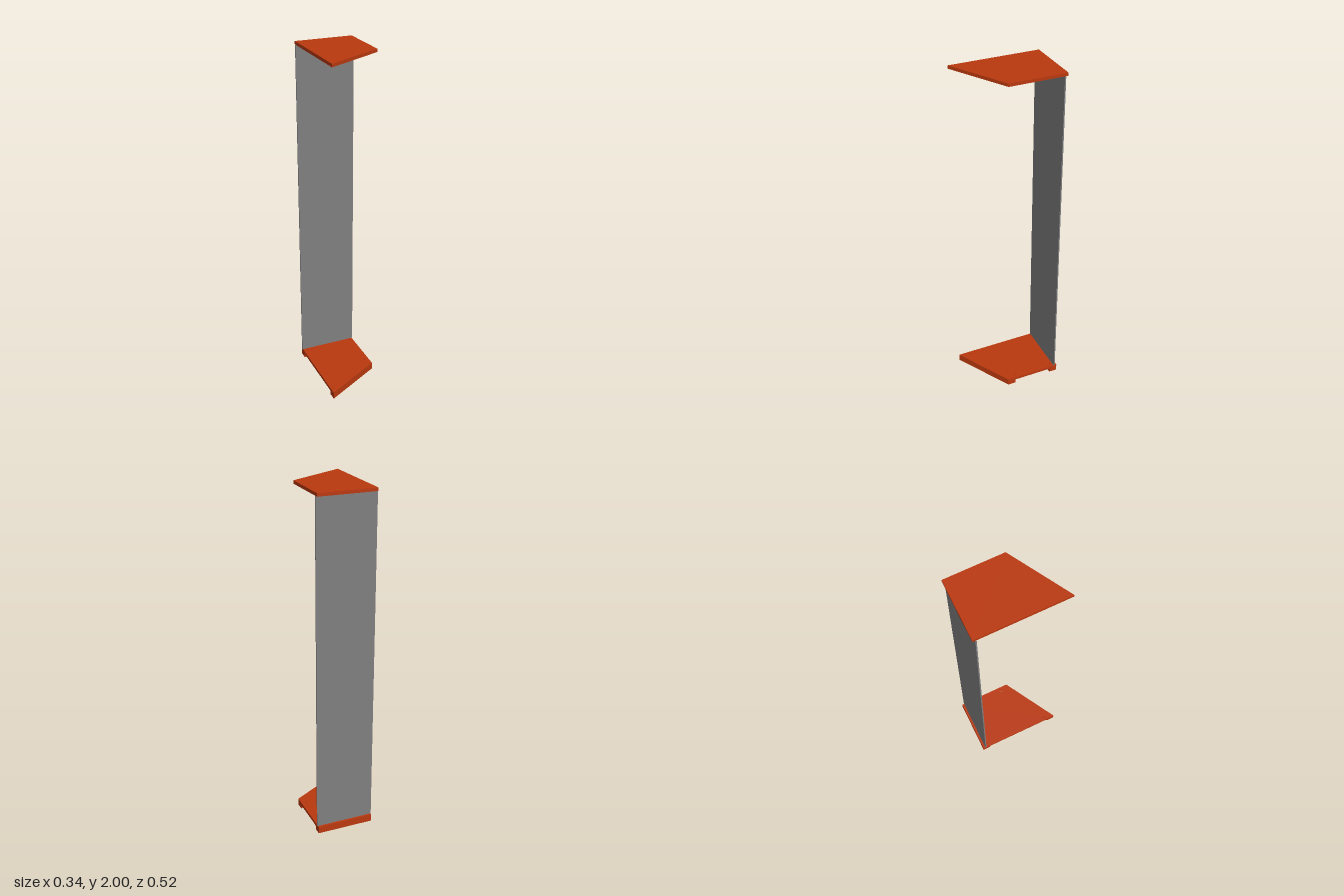
import * as THREE from 'three';

const BACK = -0.26, LEFT = 0.168, RIGHT = -0.168;
const FRONT_LEFT = 0.07, FRONT_RIGHT = 0.26;
const RAIL = 0.048, BOARD = 0.018, BASE_TOP = 0.042;

// Flat board from [x, z] corners, spanning y0 to y1, with optional round holes
function board(name, corners, y0, y1, material, holes = []) {
  const shape = new THREE.Shape(corners.map(([x, z]) => new THREE.Vector2(x, -z)));
  for (const [x, z] of holes) {
    shape.holes.push(new THREE.Path().absarc(x, -z, 0.005, 0, Math.PI * 2, true));
  }
  const geometry = new THREE.ExtrudeGeometry(shape, { depth: y1 - y0, bevelEnabled: false, curveSegments: 8 });
  geometry.rotateX(-Math.PI / 2);
  const mesh = new THREE.Mesh(geometry, material);
  mesh.name = name;
  mesh.position.y = y0;
  return mesh;
}

export function createModel() {
  const model = new THREE.Group();
  model.name = 'slantedShelfFrame';
  const wood = new THREE.MeshStandardMaterial({ color: 0xbb390f });
  const grey = new THREE.MeshStandardMaterial({ color: 0x808080 });

  // Both boards share one outline with an angled front edge
  const outline = [[RIGHT, BACK], [RIGHT, FRONT_RIGHT], [LEFT, FRONT_LEFT], [LEFT, BACK]];
  const screwHoles = [[-0.15, -0.224], [0.14, -0.224], [-0.15, 0.197], [0.14, 0.015]];
  const underside = BASE_TOP - BOARD;
  model.add(board('topBoard', outline, 2 - BOARD, 2, wood));
  model.add(board('bottomBoard', outline, underside, BASE_TOP, wood, screwHoles));

  // Rails under the bottom board, along its back and its angled front
  model.add(board('backRail', [
    [RIGHT, BACK], [RIGHT, BACK + RAIL], [LEFT, BACK + RAIL], [LEFT, BACK],
  ], 0, underside, wood));
  model.add(board('frontRail', [
    [RIGHT, FRONT_RIGHT - RAIL], [RIGHT, FRONT_RIGHT], [LEFT, FRONT_LEFT], [LEFT, FRONT_LEFT - RAIL],
  ], 0, underside, wood));

  // Thin back panel between the boards, slightly wider than them
  const height = 2 - BOARD - BASE_TOP;
  const panel = new THREE.Mesh(new THREE.BoxGeometry(0.344, height, 0.007), grey);
  panel.name = 'backPanel';
  panel.position.set(0, BASE_TOP + height / 2, -0.243);
  model.add(panel);

  return model;
}
